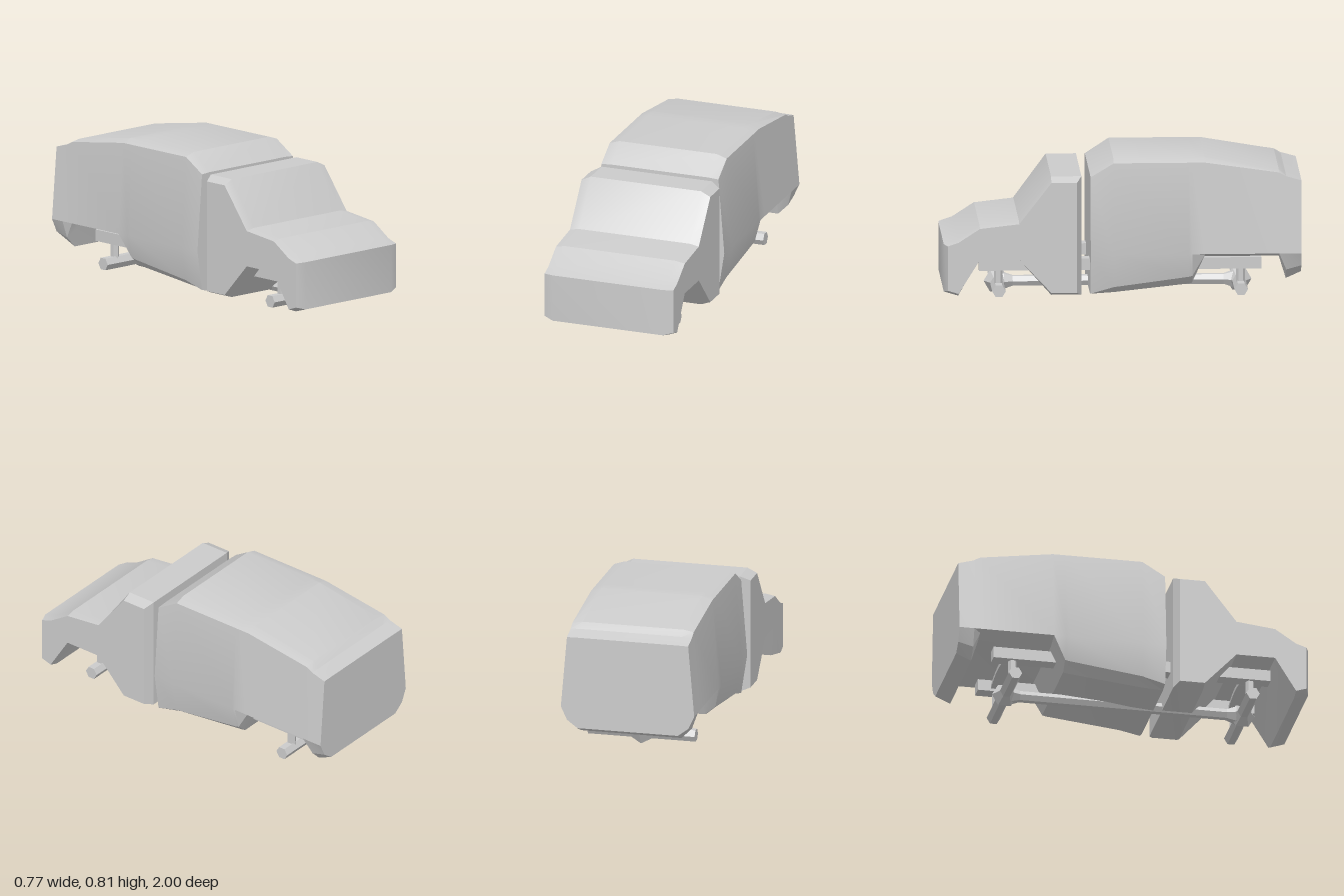
import * as THREE from 'three';
import { toCreasedNormals } from 'three/addons/utils/BufferGeometryUtils.js';

const grey = new THREE.MeshStandardMaterial({ color: 0xcccccc });
const flat = new THREE.MeshStandardMaterial({ color: 0xcccccc, flatShading: true });

function add(parent, name, geometry, material = flat, x = 0, y = 0, z = 0) {
  const mesh = new THREE.Mesh(geometry, material);
  mesh.name = name;
  mesh.position.set(x, y, z);
  parent.add(mesh);
  return mesh;
}

// Skin over stations running front to back. Each station is a list of
// half-width columns { x, top, bot, z } from the middle outwards.
function loft(stations) {
  const rows = stations.map(half => [
    ...half.slice().reverse().map(c => ({ ...c, x: -c.x })), ...half]);
  const pos = [];
  const T = c => [c.x, c.top, c.z], B = c => [c.x, c.bot, c.z];
  const quad = (a, b, c, d) => pos.push(...a, ...b, ...c, ...a, ...c, ...d);
  const last = rows.length - 1, n = rows[0].length - 1;
  for (let i = 0; i < last; i++) {
    const p = rows[i], q = rows[i + 1];
    for (let j = 0; j < n; j++) {
      quad(T(p[j]), T(p[j + 1]), T(q[j + 1]), T(q[j]));
      quad(B(q[j]), B(q[j + 1]), B(p[j + 1]), B(p[j]));
    }
    if (p[n].top > p[n].bot) {
      quad(T(p[n]), B(p[n]), B(q[n]), T(q[n]));
      quad(T(q[0]), B(q[0]), B(p[0]), T(p[0]));
    }
  }
  for (let j = 0; j < n; j++) {
    const f = rows[0], b = rows[last];
    quad(T(f[j]), B(f[j]), B(f[j + 1]), T(f[j + 1]));
    quad(T(b[j + 1]), B(b[j + 1]), B(b[j]), T(b[j]));
  }
  const g = new THREE.BufferGeometry();
  g.setAttribute('position', new THREE.Float32BufferAttribute(pos, 3));
  return toCreasedNormals(g, 0.35);
}

// Cab: z, top, bottom, bottom bevel, z shift of the outer edge
const cabStations = [
  [1.0, 0.34, 0.07, 0.015, -0.02],
  [0.92, 0.367, 0.046, 0.02, 0],
  [0.8, 0.445, 0.255, 0.003, 0],
  [0.58, 0.47, 0.255, 0.003, 0],
  [0.4, 0.72, 0.046, 0.02, 0],
  [0.23, 0.72, 0.046, 0.02, 0.027],
].map(([z, top, bot, bevel, dz], i) => [
  { x: 0.33, top, bot, z },
  { x: 0.385, top: top - (i === 0 ? 0.003 : i < 4 ? 0.01 : 0.027), bot: bot + bevel, z: z + dz },
]);

// Rear body: z, top, bottom, top bevel, lower bevel
const bodyStations = [
  [0.18, 0.72, 0.042, 0.004, 0.012],
  [0.05, 0.815, 0.05, 0.02, 0.04],
  [-0.37, 0.815, 0.095, 0.02, 0.05],
  [-0.39, 0.815, 0.1, 0.02, 0.05],
  [-0.46, 0.815, 0.25, 0.02, 0.02],
  [-0.875, 0.745, 0.25, 0.01, 0.02],
  [-0.915, 0.715, 0.122, 0.002, 0.06],
  [-1.0, 0.69, 0.16, 0.001, 0.045],
].map(([z, top, bot, bevel, low]) => [
  { x: 0.29, top, bot, z },
  { x: 0.35, top: top - bevel, bot: bot + low, z },
  { x: 0.385, top: 0.28, bot: 0.28, z },
]);

// Six-sided turned part from [radius, height] pairs
const turned = pts => new THREE.LatheGeometry(pts.map(p => new THREE.Vector2(...p)), 6);

export function createModel() {
  const model = new THREE.Group();
  model.name = 'truck';
  add(model, 'cab', loft(cabStations), grey);
  add(model, 'rearBody', loft(bodyStations), grey);

  const chassis = new THREE.Group();
  chassis.name = 'chassis';
  model.add(chassis);
  for (const s of [-1, 1])
    add(chassis, 'frameRail', new THREE.BoxGeometry(0.08, 0.065, 1.58), flat, s * 0.22, 0.204, 0.01);

  // Axles with a swollen hub in the middle, and their posts and cross members
  const axleProfile = [[0, -0.31], [0.038, -0.31], [0.038, -0.06], [0.072, 0],
    [0.038, 0.06], [0.038, 0.31], [0, 0.31]];
  const arch = new THREE.Shape();
  arch.moveTo(-0.2, 0.18);
  arch.quadraticCurveTo(0, 0.25, 0.2, 0.18);
  arch.lineTo(0.2, 0.2);
  arch.quadraticCurveTo(0, 0.27, -0.2, 0.2);
  for (const [end, z] of [['front', 0.69], ['rear', -0.665]]) {
    add(chassis, end + 'Axle', turned(axleProfile), flat, 0, 0.064, z).rotation.z = Math.PI / 2;
    for (const s of [-1, 1])
      add(chassis, end + 'Post', new THREE.CylinderGeometry(0.025, 0.025, 0.12, 6), flat, s * 0.22, 0.13, z);
    add(chassis, end + 'CrossMember',
      new THREE.ExtrudeGeometry(arch, { depth: 0.08, bevelEnabled: false, curveSegments: 8 }), flat, 0, 0, z - 0.04);
  }

  // Drive shaft flaring into both hubs
  const shaft = turned([[0, -0.68], [0.05, -0.66], [0.05, -0.63], [0.032, -0.58],
    [0.032, 0.6], [0.05, 0.65], [0.05, 0.68], [0, 0.7]]);
  shaft.rotateY(Math.PI / 6 * 3);
  add(chassis, 'driveShaft', shaft, flat, 0, 0.065, 0).rotation.x = Math.PI / 2;
  return model;
}
